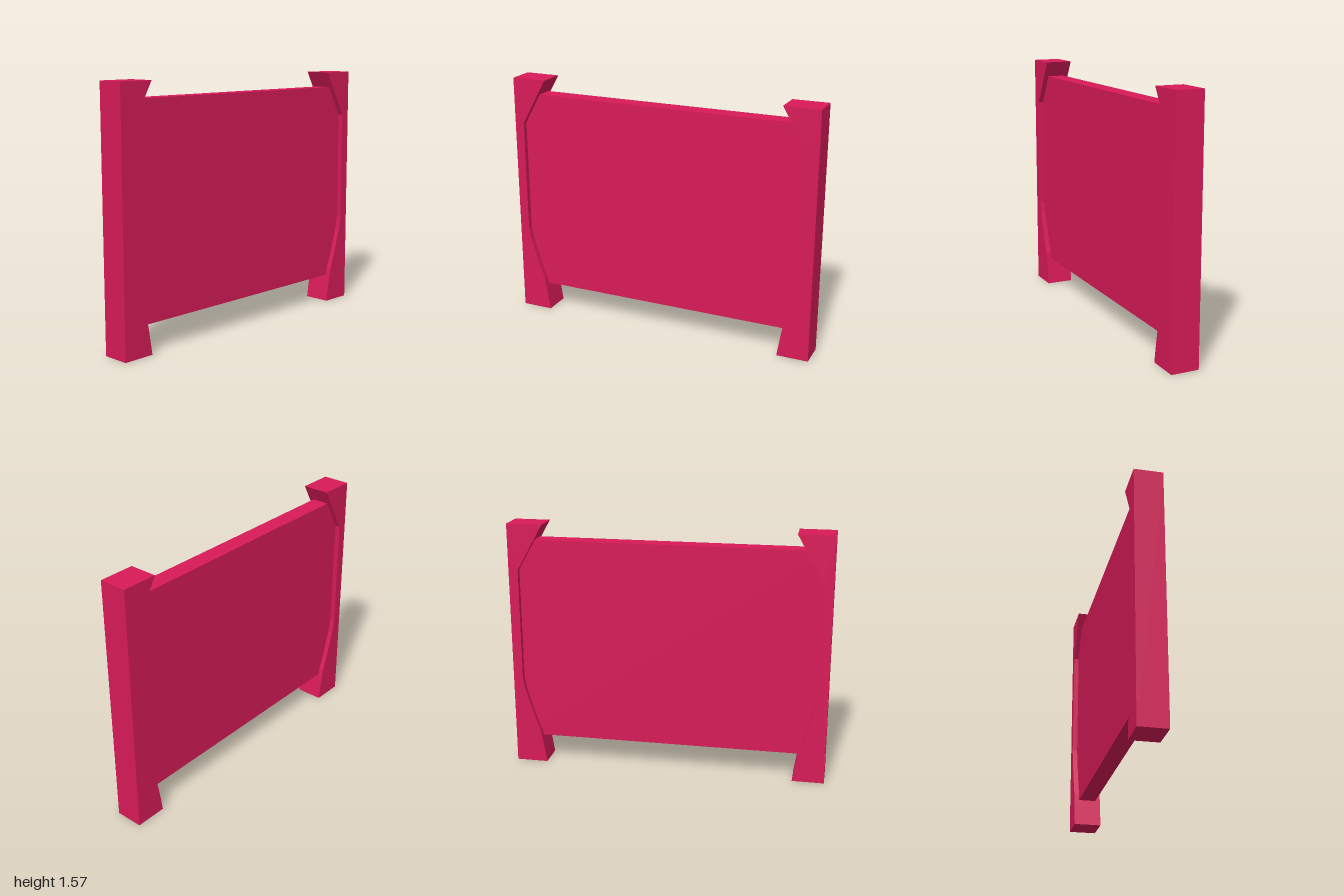
import * as THREE from 'three';

export function createModel() {
  const group = new THREE.Group();
  const material = new THREE.MeshStandardMaterial({ color: 0xd81b58, flatShading: true });

  // Flat panel, its ends set into the posts
  const panel = new THREE.Mesh(new THREE.BoxGeometry(0.11, 1.295, 1.9), material);
  panel.name = 'panel';
  panel.position.y = 0.175 + 1.295 / 2;
  group.add(panel);

  // Post side profile (z, y): straight outside, hollowed inner edge
  const profile = [
    [1, 0], [1, 1.57], [0.775, 1.57], [0.94, 1.28], [0.94, 0.57],
    [0.925, 0.49], [0.87, 0.31], [0.835, 0.215], [0.82, 0.13], [0.8, 0],
  ];
  const width = 0.174;
  const shape = new THREE.Shape(profile.map(([z, y]) => new THREE.Vector2(z, y)));
  const postGeometry = new THREE.ExtrudeGeometry(shape, { depth: width, bevelEnabled: false });
  postGeometry.translate(0, 0, -width / 2).rotateY(-Math.PI / 2);

  // The same post turned round for the back end
  [['frontPost', 0], ['backPost', Math.PI]].forEach(([name, turn]) => {
    const post = new THREE.Mesh(postGeometry, material);
    post.name = name;
    post.rotation.y = turn;
    group.add(post);
  });

  return group;
}
